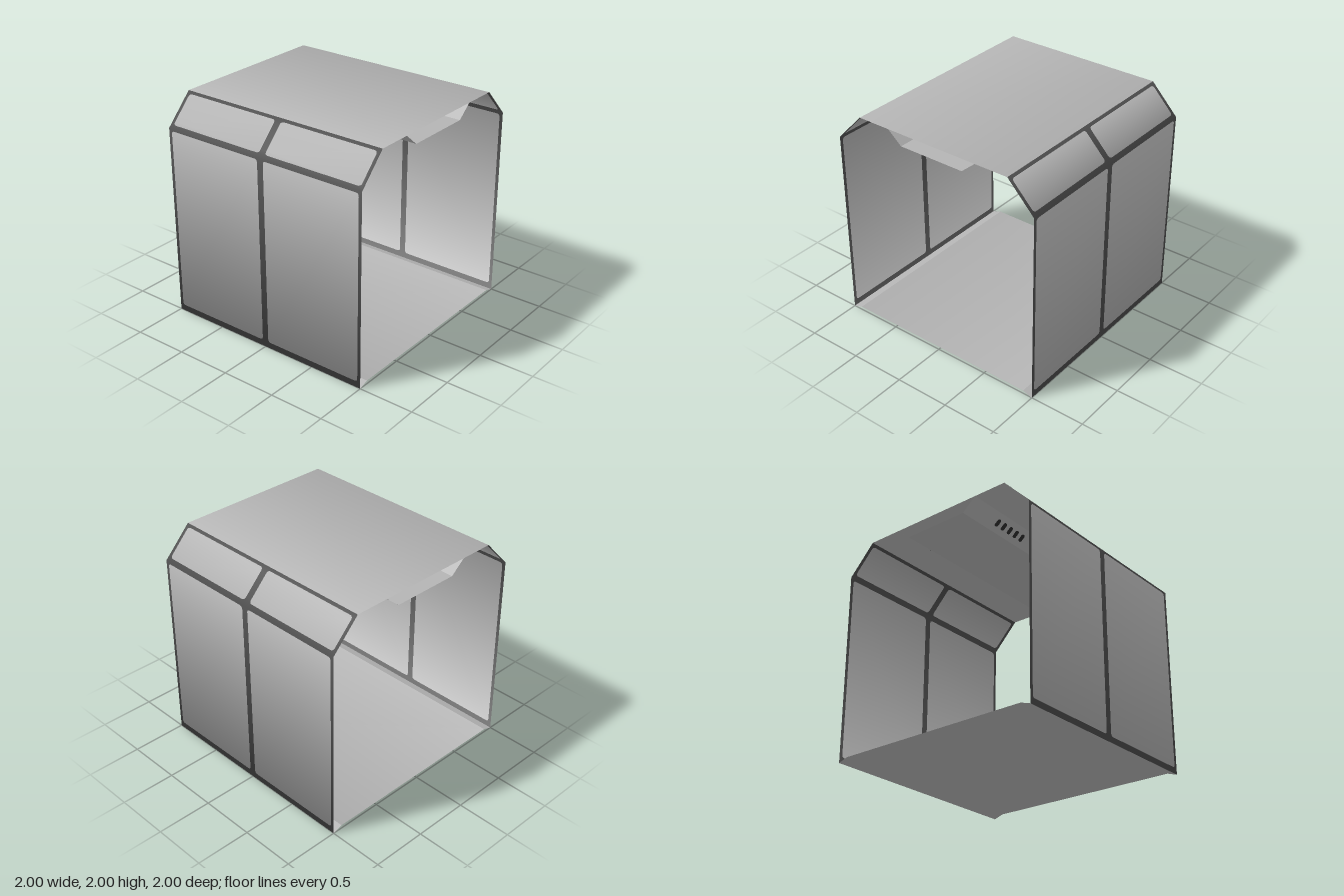
import * as THREE from 'three';

const mat = (name, color) => {
  const m = new THREE.MeshStandardMaterial({ color, side: THREE.DoubleSide });
  m.name = name;
  return m;
};

// Rounded rectangle traced on a Path or Shape.
function roundRect(path, u0, v0, u1, v1, r) {
  path.moveTo(u0 + r, v0);
  path.lineTo(u1 - r, v0);
  path.quadraticCurveTo(u1, v0, u1, v0 + r);
  path.lineTo(u1, v1 - r);
  path.quadraticCurveTo(u1, v1, u1 - r, v1);
  path.lineTo(u0 + r, v1);
  path.quadraticCurveTo(u0, v1, u0, v1 - r);
  path.lineTo(u0, v0 + r);
  path.quadraticCurveTo(u0, v0, u0 + r, v0);
  return path;
}

function rect(u0, v0, u1, v1) {
  const s = new THREE.Shape();
  s.moveTo(u0, v0);
  s.lineTo(u1, v0);
  s.lineTo(u1, v1);
  s.lineTo(u0, v1);
  s.closePath();
  return s;
}

export function createModel() {
  const group = new THREE.Group();
  group.name = 'corridorSection';
  const panelMat = mat('panelGrey', 0xb4b4b4);
  const frameMat = mat('frameDarkGrey', 0x4e4e4e);
  const slotMat = mat('slotBlack', 0x2c2c2c);

  // Lays a flat shape on one segment of the cross-section:
  // u runs along -z, v from p0 to p1, and normals blend from n0 to n1.
  function sheet(name, shape, material, seg, lift = 0) {
    const { p0, p1 } = seg;
    const len = p0.distanceTo(p1);
    const dir = p1.clone().sub(p0).divideScalar(len);
    const out = new THREE.Vector2(dir.y, -dir.x);
    const n0 = seg.n0 || out, n1 = seg.n1 || out;
    const geo = new THREE.ShapeGeometry(shape, 5);
    const pos = geo.attributes.position, nor = geo.attributes.normal;
    for (let i = 0; i < pos.count; i++) {
      const u = pos.getX(i), v = pos.getY(i);
      const n = n0.clone().lerp(n1, v / len).normalize();
      pos.setXYZ(i, p0.x + dir.x * v + out.x * lift, p0.y + dir.y * v + out.y * lift, -u);
      nor.setXYZ(i, n.x, n.y, 0);
    }
    const mesh = new THREE.Mesh(geo, material);
    mesh.name = name;
    group.add(mesh);
  }

  const V = (x, y) => new THREE.Vector2(x, y);
  const segment = (a, b, n0, n1) => ({ p0: V(...a), p1: V(...b), n0: n0 && V(...n0), n1: n1 && V(...n1) });
  const plain = (name, seg) => sheet(name, rect(-1, 0, 1, seg.p0.distanceTo(seg.p1)), panelMat, seg);

  // Dark frame with two rounded panels filling its openings.
  function framed(name, seg, m0, m1) {
    const len = seg.p0.distanceTo(seg.p1);
    const frame = rect(-1, 0, 1, len);
    for (const [a, b] of [[-0.97, -0.03], [0.03, 0.97]]) {
      frame.holes.push(roundRect(new THREE.Path(), a, m0, b, len - m1, 0.03));
      sheet(name + 'Panel', roundRect(new THREE.Shape(), a, m0, b, len - m1, 0.03), panelMat, seg);
    }
    sheet(name + 'Frame', frame, frameMat, seg);
  }

  // Side walls and slanted upper corners
  const low = [0.71, -0.71], mid = [0.92, 0.38], high = [0.38, 0.92];
  const flip = ([x, y]) => [-x, y];
  framed('leftWall', segment([1, 0], [1, 1.74], low, mid), 0.055, 0.02);
  framed('leftSlope', segment([1, 1.74], [0.75, 2], mid, high), 0.035, 0.028);
  framed('rightSlope', segment([-0.75, 2], [-1, 1.74], flip(high), flip(mid)), 0.028, 0.035);
  framed('rightWall', segment([-1, 1.74], [-1, 0], flip(mid), flip(low)), 0.02, 0.055);

  // Roof
  plain('roof', segment([0.75, 2], [-0.75, 2], high, flip(high)));

  // Slightly raised floor with sloping edges
  plain('floorEdgeRight', segment([-1, 0], [-0.91, 0.03]));
  plain('floor', segment([-0.91, 0.03], [0.91, 0.03], [-0.3, -0.95], [0.3, -0.95]));
  plain('floorEdgeLeft', segment([0.91, 0.03], [1, 0]));

  // Ceiling duct, open at both ends
  const ductRight = segment([-0.44, 2], [-0.31, 1.89]);
  const ductLeft = segment([0.31, 1.89], [0.44, 2]);
  plain('ductSideRight', ductRight);
  plain('ductBottom', segment([-0.31, 1.89], [0.31, 1.89]));
  plain('ductSideLeft', ductLeft);

  // Rows of air slots on the duct sides
  for (const seg of [ductRight, ductLeft]) {
    for (const centre of [-0.47, 0.47]) {
      for (let i = -2; i <= 2; i++) {
        const u = centre + i * 0.08;
        const slot = roundRect(new THREE.Shape(), u - 0.02, 0.05, u + 0.02, 0.12, 0.018);
        sheet('airSlot', slot, slotMat, seg, 0.004);
      }
    }
  }
  return group;
}
